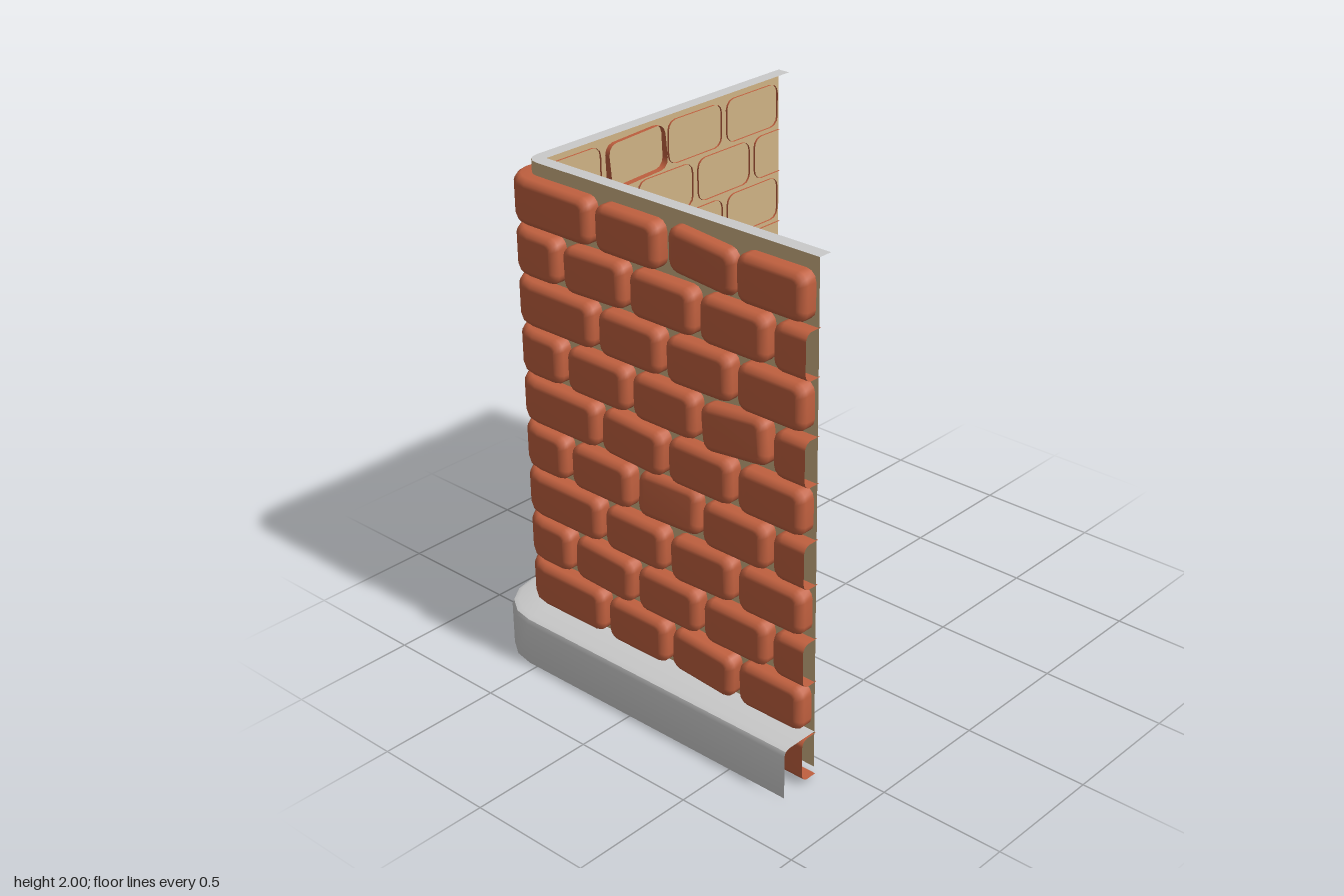
import * as THREE from 'three';
import { toCreasedNormals } from 'three/addons/utils/BufferGeometryUtils.js';

const material = (name, color) => {
  const m = new THREE.MeshStandardMaterial({ color, side: THREE.DoubleSide });
  m.name = name;
  return m;
};

// The wall follows an L-shaped path with a small rounded corner.
// s runs along it (0 = corner middle, + = front wing, - = side wing); d is the distance outward.
const BEND = 0.54, RADIUS = 0.06, END = 0.76;
const HALF_ARC = RADIUS * Math.PI / 4;
const along = (u) => u + BEND + HALF_ARC;
const ARC = [-1, -0.5, 0, 0.5, 1].map((k) => k * HALF_ARC);

function place(s, y, d) {
  const r = RADIUS + d;
  if (s >= HALF_ARC) return [-BEND + s - HALF_ARC, y, BEND + r];
  if (s <= -HALF_ARC) return [-BEND - r, y, BEND + s + HALF_ARC];
  const a = Math.PI / 4 - s / RADIUS;
  return [-BEND - r * Math.sin(a), y, BEND + r * Math.cos(a)];
}

function build(points, index) {
  const g = new THREE.BufferGeometry();
  g.setAttribute('position', new THREE.Float32BufferAttribute(points, 3));
  g.setIndex(index);
  g.computeVertexNormals();
  return g;
}

// Sweep a profile of [d, y] points along the whole path
function sweep(profile) {
  const stations = [-along(END), ...ARC, along(END)];
  const n = profile.length, points = [], index = [];
  stations.forEach((s, i) => profile.forEach(([d, y], j) => {
    points.push(...place(s, y, d));
    if (i && j) {
      const q = i * n + j, p = q - n;
      index.push(p - 1, q - 1, q, p - 1, q, p);
    }
  }));
  return toCreasedNormals(build(points, index), 0.6);
}

// Pillow-shaped brick shell, open at the back; cut = -1 or 1 leaves that end sawn off
const RINGS = [[0, 0], [0, 0.048], [0.006, 0.061], [0.017, 0.07], [0.028, 0.073]];
const HALF_HEIGHT = 0.0875;

function brick(s0, s1, y, { cut = 0, roll = 0, pitch = 0, back = -0.008, mid = [] } = {}) {
  const points = [], index = [], centre = (s0 + s1) / 2;
  const turn = new THREE.Euler(pitch, 0, roll);
  let n = 0;
  RINGS.forEach(([inset, depth], r) => {
    const h = HALF_HEIGHT - inset, rad = 0.04 - inset * 0.6;
    const corner = [0, 1, 2, 3].map((k) => {
      const a = k * Math.PI / 6;
      return [rad * (1 - Math.cos(a)), h - rad + rad * Math.sin(a)];
    });
    const left = cut < 0 ? [[s0, h]] : corner.map(([e, v]) => [s0 + inset + e, v]);
    const right = cut > 0 ? [[s1, h]] : corner.map(([e, v]) => [s1 - inset - e, v]).reverse();
    const columns = [...left, ...mid.map((s) => [s, h]), ...right];
    n = columns.length;
    const loop = [...columns, ...columns.map(([s, v]) => [s, -v]).reverse()];
    loop.forEach(([s, v]) => {
      const p = new THREE.Vector3(s - centre, v, depth).applyEuler(turn);
      points.push(...place(centre + p.x, y + p.y, back + p.z));
    });
    // Sides
    for (let i = 0; r && i < 2 * n; i++) {
      if ((cut > 0 && i === n - 1) || (cut < 0 && i === 2 * n - 1)) continue;
      const j = (i + 1) % (2 * n), f = r * 2 * n, b = f - 2 * n;
      index.push(b + i, f + i, f + j, b + i, f + j, b + j);
    }
  });
  // Face
  const f = (RINGS.length - 1) * 2 * n;
  for (let i = 0; i < n - 1; i++) {
    const t = f + i, b = f + 2 * n - 1 - i;
    index.push(t, b, b - 1, t, b - 1, t + 1);
  }
  return build(points, index);
}

// Loose bricks, keyed by wing, row and place in the row
const LOOSE = {
  front: {
    '0,1': { roll: -0.09, pitch: 0.1, back: -0.03 },
    '1,0': { roll: 0.03 }, '2,1': { roll: 0.02 },
    '3,2': { roll: 0.11, pitch: -0.04 },
    '4,0': { roll: -0.05 },
    '5,1': { roll: 0.04, pitch: -0.1, back: -0.022 },
    '6,1': { roll: 0.03 }, '7,0': { roll: -0.05 },
    '8,1': { roll: -0.08, pitch: 0.04 },
  },
  side: {
    '0,0': { roll: -0.04, pitch: 0.06, back: -0.025 },
    '3,0': { roll: 0.06, pitch: 0.02 },
    '5,1': { roll: 0.03, pitch: -0.06, back: -0.022 },
    '8,0': { roll: -0.05, pitch: 0.02 },
  },
};

export function createModel() {
  const group = new THREE.Group();
  const red = material('brick red', 0xc0603f);
  const tan = material('mortar tan', 0xcfb284);
  const grey = material('stone grey', 0xcacaca);
  const add = (name, geometry, mat, parent = group) => {
    const mesh = new THREE.Mesh(geometry, mat);
    mesh.name = name;
    parent.add(mesh);
  };

  add('mortarWall', sweep([[0, 0.05], [0, 2]]), tan);
  add('topLedge', sweep([[0, 2], [-0.055, 2]]), grey);
  add('plinth', sweep([[0.16, 0], [0.16, 0.175], [0.153, 0.193], [0.135, 0.2], [0, 0.2]]), grey);

  const bricks = new THREE.Group();
  bricks.name = 'bricks';
  group.add(bricks);
  for (let row = 0; row < 10; row++) {
    const y = 1.863 - row * 0.1955;
    const long = row % 2 === 0;
    // Brick wrapping the corner
    const reach = along(long ? -0.232 : -0.4);
    add('cornerBrick', brick(-reach, reach, y, { mid: ARC }), red, bricks);
    // Running bricks on both wings, sawn off at the ends
    let start = long ? -0.202 : -0.368;
    for (let k = 0; start < END - 0.1; k++, start += 0.326) {
      const over = start + 0.296 > END;
      const a = along(start), b = along(over ? END : start + 0.296);
      const key = `${row},${k}`;
      add('frontBrick', brick(a, b, y, { cut: over ? 1 : 0, ...LOOSE.front[key] }), red, bricks);
      add('sideBrick', brick(-b, -a, y, { cut: over ? -1 : 0, ...LOOSE.side[key] }), red, bricks);
    }
  }
  return group;
}
